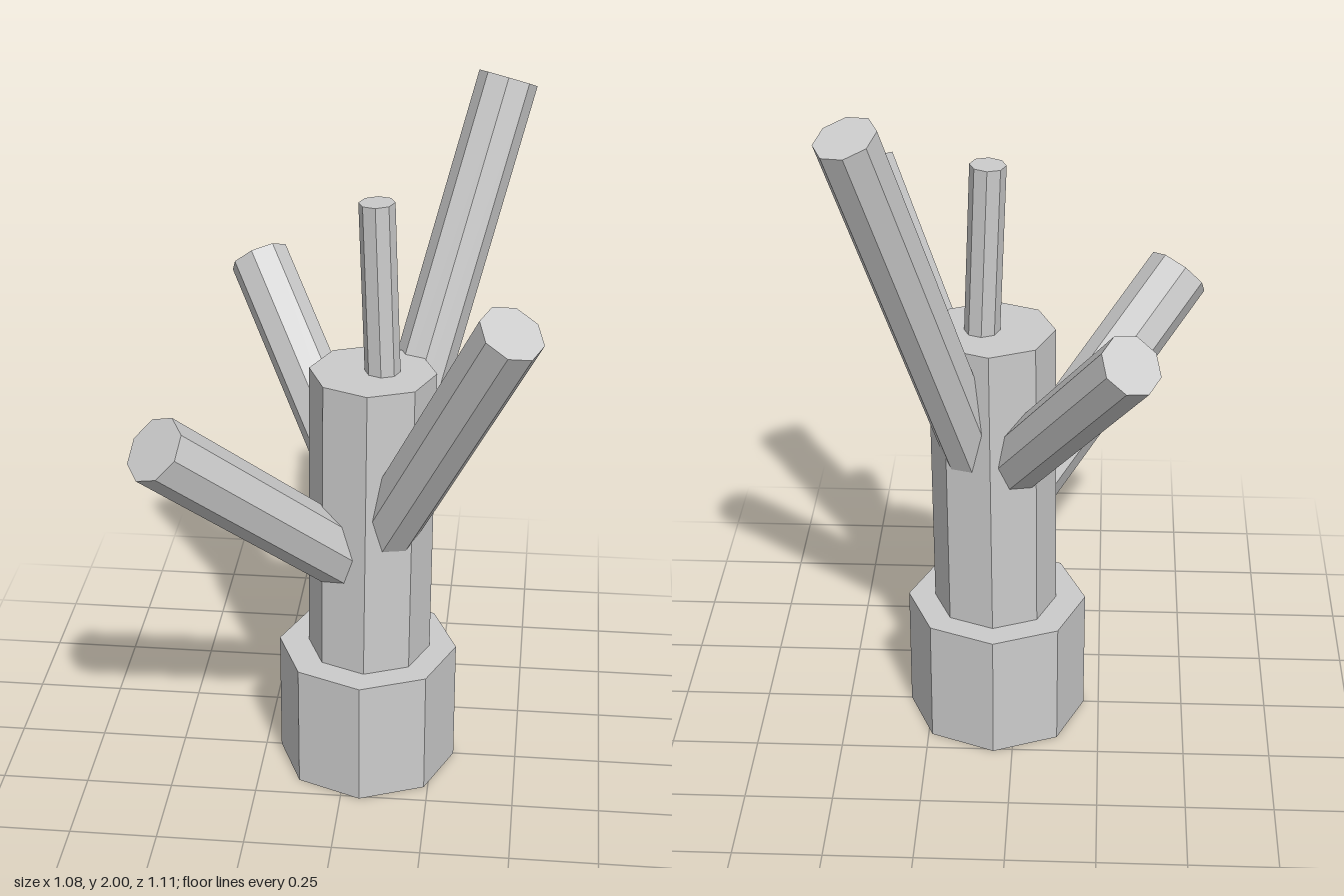
import * as THREE from 'three';

const material = new THREE.MeshStandardMaterial({ color: 0xcccccc, flatShading: true });

// Eight-sided rod running from one point to another
function rod(name, from, to, rBottom, rTop = rBottom) {
  const a = new THREE.Vector3(...from);
  const b = new THREE.Vector3(...to);
  const axis = b.clone().sub(a);
  const mesh = new THREE.Mesh(new THREE.CylinderGeometry(rTop, rBottom, axis.length(), 8), material);
  mesh.name = name;
  mesh.position.copy(a).add(b).multiplyScalar(0.5);
  mesh.quaternion.setFromUnitVectors(new THREE.Vector3(0, 1, 0), axis.normalize());
  return mesh;
}

export function createModel() {
  const model = new THREE.Group();
  model.name = 'branchingTrunk';

  // Wide foot and the slightly leaning trunk
  model.add(rod('base', [0.055, 0, 0], [0.055, 0.375, 0], 0.26));
  model.add(rod('trunk', [0.058, 0.2, 0], [0.066, 1.25, -0.007], 0.178));

  // Thin shoot on top
  model.add(rod('topTwig', [0.1, 1.05, -0.008], [0.073, 1.74, -0.017], 0.05));

  // Four branches, rooted inside the trunk
  const branches = [
    ['backLeftBranch', [0.085, 0.78, -0.04], [0.402, 1.967, -0.43], 0.084],
    ['frontLeftBranch', [0.075, 0.71, 0.03], [0.455, 1.565, 0.42], 0.09],
    ['frontRightBranch', [0.05, 0.63, 0.01], [-0.463, 1.218, 0.472], 0.095],
    ['backRightBranch', [0.045, 0.8, -0.03], [-0.315, 1.385, -0.482], 0.087],
  ];
  for (const [name, root, tip, radius] of branches) model.add(rod(name, root, tip, radius));

  return model;
}
